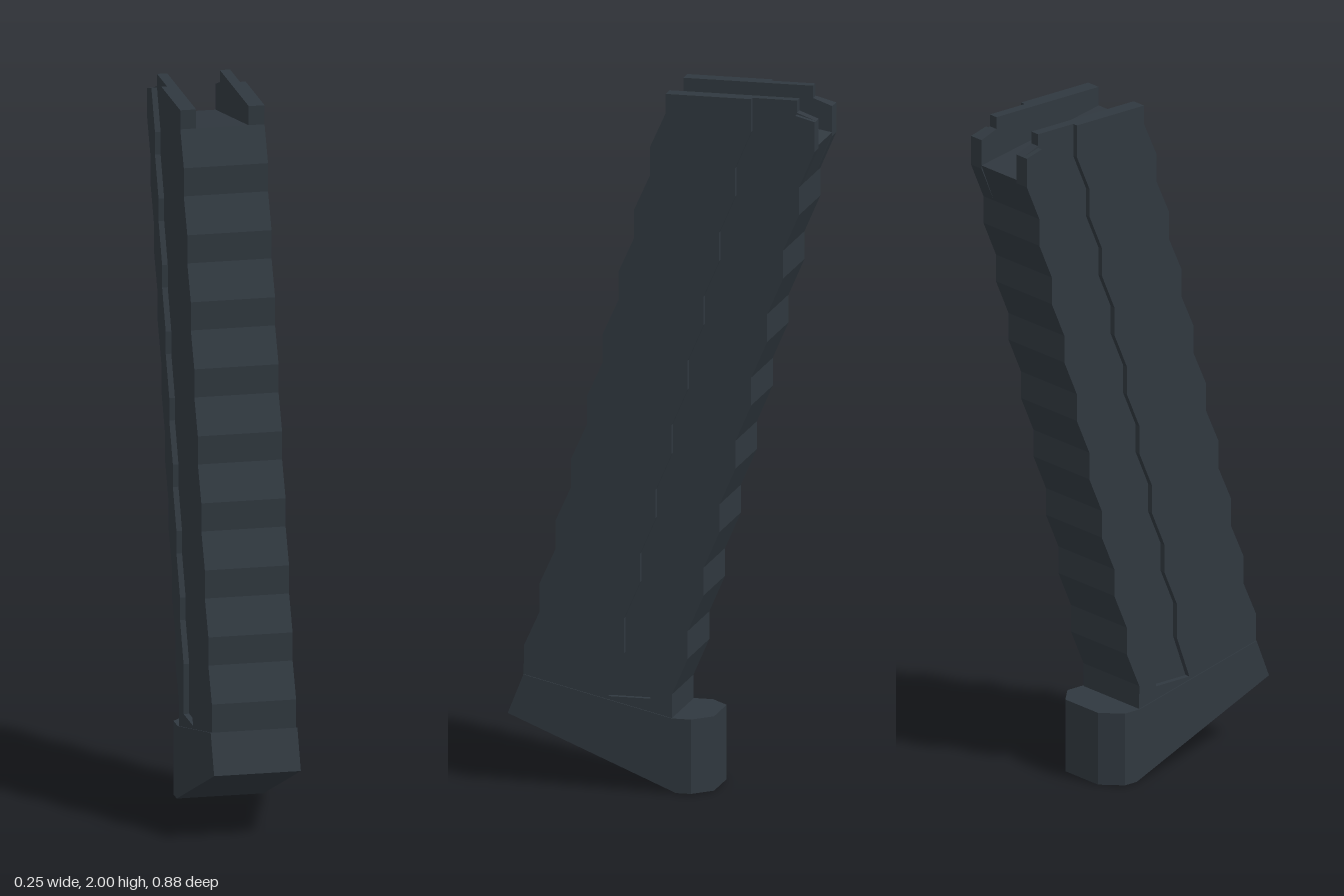
import * as THREE from 'three';

const polymer = new THREE.MeshStandardMaterial({ color: 0x30383f });
polymer.name = 'dark polymer';

// Stepped edge running down the body: upright runs joined by slopes, as [z, y] points
function steppedEdge(z, y, dz, dy, slope, count = 9) {
  const points = [];
  for (let k = 0; k < count; k++) {
    points.push([z + k * dz, y - k * dy], [z + (k + 1) * dz, y - k * dy - slope]);
  }
  return points;
}

const toShape = (points) => new THREE.Shape(points.map(([a, b]) => new THREE.Vector2(a, b)));

function part(name, geometry) {
  const mesh = new THREE.Mesh(geometry, polymer);
  mesh.name = name;
  return mesh;
}

// Side profile of [z, y] points, extruded across the width from x0 to x1
function slab(name, points, x0, x1) {
  const geometry = new THREE.ExtrudeGeometry(toShape(points), { depth: x1 - x0, bevelEnabled: false });
  geometry.rotateY(-Math.PI / 2).translate(x1, 0, 0);
  return part(name, geometry);
}

export function createModel() {
  const group = new THREE.Group();
  group.name = 'magazine';

  const front = [...steppedEdge(-0.01, 1.945, 0.0453, 0.1813, 0.1), [0.398, 0.313]];
  const back = [[-0.438, 1.945], ...steppedEdge(-0.438, 1.86, 0.0456, 0.1843, 0.105), [-0.028, 0.2]];
  const backUp = [...back].reverse();
  const bottom = [[0.38, 0.25], [-0.028, 0.1]];

  // Core with the feed floor, between the two feed walls
  const core = [...front, ...bottom, ...backUp.slice(0, -2), [-0.438, 1.87], [-0.065, 1.935]];
  group.add(slab('core', core, -0.075, 0.075));

  // Side walls rising to the feed lips
  const rearNotch = [[-0.383, 1.965], [-0.383, 2]];
  const wall = [[-0.01, 2], ...front, ...bottom, ...backUp, ...rearNotch];

  // Outer skin with a stepped groove open at the top
  const grooveRear = [...steppedEdge(-0.383, 1.96, 0.0462, 0.1795, 0.115), [0.033, 0.265]];
  const grooveFront = [[-0.255, 2], ...steppedEdge(-0.255, 1.905, 0.0456, 0.187, 0.105, 8), [0.11, 0.39], [0.155, 0.265]];
  const skin = [[-0.01, 2], ...front, ...bottom, ...backUp, ...grooveRear, ...grooveFront.reverse()];

  for (const [side, s] of [['left', 1], ['right', -1]]) {
    const span = (a, b) => (s > 0 ? [a, b] : [-b, -a]);
    group.add(slab(side + 'Wall', wall, ...span(0.075, 0.104)));
    group.add(slab(side + 'GroovedSkin', skin, ...span(0.104, 0.12)));
  }

  // Base plate with a slanted underside, slightly wider than the body
  const base = [[0.398, 0.313], [0.443, 0.2], [-0.04, 0], [-0.04, 0.213], [-0.028, 0.213]];
  group.add(slab('basePlate', base, -0.1235, 0.1235));

  // Heel with chamfered rear corners; outline is [x, -z]
  const heel = new THREE.ExtrudeGeometry(
    toShape([[-0.1235, 0.04], [0.1235, 0.04], [0.1235, 0.083], [0.07, 0.136], [-0.07, 0.136], [-0.1235, 0.083]]),
    { depth: 0.213, bevelEnabled: false }
  );
  heel.rotateX(-Math.PI / 2);
  group.add(part('baseHeel', heel));

  return group;
}
